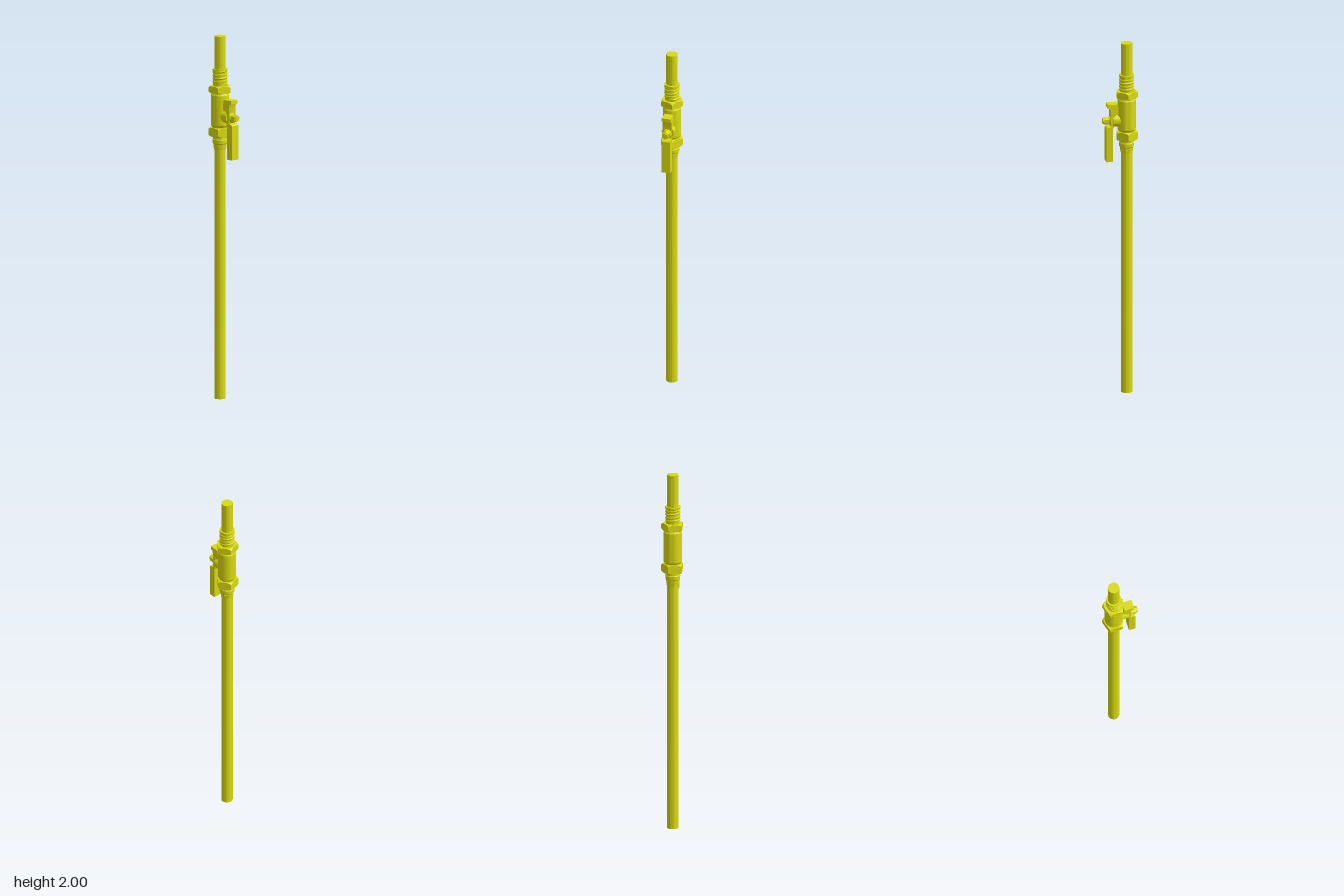
import * as THREE from 'three';
import { toCreasedNormals } from 'three/addons/utils/BufferGeometryUtils.js';

const brass = new THREE.MeshStandardMaterial({ color: 0xdada10 });
brass.name = 'yellow';

export function createModel() {
  const root = new THREE.Group();
  root.name = 'valveOnPipe';

  // everything vertical shares the pipe axis
  const valve = new THREE.Group();
  valve.name = 'valve';
  valve.position.set(-0.006, 0, -0.037);
  root.add(valve);

  const add = (name, geo, parent = valve) => {
    const mesh = new THREE.Mesh(toCreasedNormals(geo, 0.5), brass);
    mesh.name = name;
    parent.add(mesh);
    return mesh;
  };
  const lathe = (points, seg = 32) =>
    new THREE.LatheGeometry(points.map(([r, y]) => new THREE.Vector2(r, y)), seg);

  // long pipe
  add('pipe', new THREE.CylinderGeometry(0.031, 0.031, 2, 32).translate(0, 1, 0));

  // round body with chamfered ends
  add('valveBody', lathe([[0, 1.49], [0.044, 1.49], [0.044, 1.5], [0.05, 1.51],
    [0.05, 1.675], [0.044, 1.685], [0.044, 1.69], [0, 1.69]]));

  // five-sided nut whose corners are turned down at both ends
  const nut = (name, y0, y1) => {
    const apothem = 0.051, rim = 0.0525, step = Math.PI * 2 / 5;
    const geo = lathe([[0, y0], [rim, y0], [1, y0], [1, y1], [rim, y1], [0, y1]], 60);
    const p = geo.attributes.position;
    const mid = (y0 + y1) / 2;
    for (let i = 0; i < p.count; i++) {
      const x = p.getX(i), z = p.getZ(i), r = Math.hypot(x, z);
      if (r < 0.01) continue;
      const a = Math.atan2(z, x);
      const off = a - step * (Math.floor(a / step) + 0.5);
      const poly = apothem / Math.cos(off);
      const want = r > 0.5 ? poly : Math.min(poly, rim);
      p.setX(i, x / r * want);
      p.setZ(i, z / r * want);
      if (r > 0.5) {
        const drop = Math.max(0, poly - rim) * 0.8;
        p.setY(i, p.getY(i) + (p.getY(i) > mid ? -drop : drop));
      }
    }
    add(name, geo);
  };
  nut('upperNut', 1.686, 1.726);
  nut('lowerNut', 1.447, 1.497);

  // threaded ends: core and a helical ridge
  class Helix extends THREE.Curve {
    constructor(r0, r1, y0, y1, turns) {
      super();
      Object.assign(this, { r0, r1, y0, y1, turns });
    }
    getPoint(t, out = new THREE.Vector3()) {
      const a = t * this.turns * Math.PI * 2;
      const r = this.r0 + (this.r1 - this.r0) * t;
      return out.set(r * Math.sin(a), this.y0 + (this.y1 - this.y0) * t, r * Math.cos(a));
    }
  }
  add('upperThreadCore', lathe([[0, 1.72], [0.038, 1.72], [0.038, 1.807],
    [0.041, 1.81], [0.041, 1.82], [0, 1.82]]));
  add('upperThread', new THREE.TubeGeometry(new Helix(0.035, 0.035, 1.735, 1.808, 4), 160, 0.007, 6));
  add('lowerThreadCore', lathe([[0, 1.375], [0.033, 1.375], [0.036, 1.4], [0.036, 1.405],
    [0.04, 1.41], [0.041, 1.43], [0.038, 1.435], [0.038, 1.45], [0, 1.45]]));
  add('lowerThread', new THREE.TubeGeometry(new Helix(0.03, 0.034, 1.388, 1.437, 2), 90, 0.006, 6));

  // stem parts face forward from the body
  const stem = new THREE.Group();
  stem.name = 'stem';
  stem.position.set(-0.006, 1.56, 0);
  root.add(stem);
  const along = (name, r0, r1, z0, z1, sides) =>
    add(name, new THREE.CylinderGeometry(r1, r0, z1 - z0, sides)
      .rotateX(Math.PI / 2).translate(0, 0, (z0 + z1) / 2), stem);
  along('bonnet', 0.034, 0.034, -0.02, 0.042, 24);
  along('stemCollar', 0.026, 0.02, 0.054, 0.064, 24);
  along('stemNut', 0.021, 0.021, 0.062, 0.088, 6);
  along('stemTip', 0.016, 0.016, 0.085, 0.096, 20);

  // lever: side profile extruded across its width, in (z, y)
  const plate = (name, pts, width) => {
    const shape = new THREE.Shape(pts.map(([z, y]) => new THREE.Vector2(z, y)));
    const geo = new THREE.ExtrudeGeometry(shape, { depth: width, bevelEnabled: false })
      .translate(0, 0, -width / 2).rotateY(-Math.PI / 2);
    return add(name, geo, root).position.set(-0.006, 0, 0);
  };
  plate('leverPlate', [[0.04, 1.52], [0.055, 1.535], [0.055, 1.62], [0.06, 1.634],
    [0.072, 1.637], [0.072, 1.657], [0.016, 1.657], [0.012, 1.64], [0.012, 1.6],
    [0.035, 1.59], [0.035, 1.53]], 0.05);
  plate('leverHandle', [[0.042, 1.33], [0.079, 1.33], [0.079, 1.518], [0.072, 1.525],
    [0.042, 1.53]], 0.05);

  return root;
}
